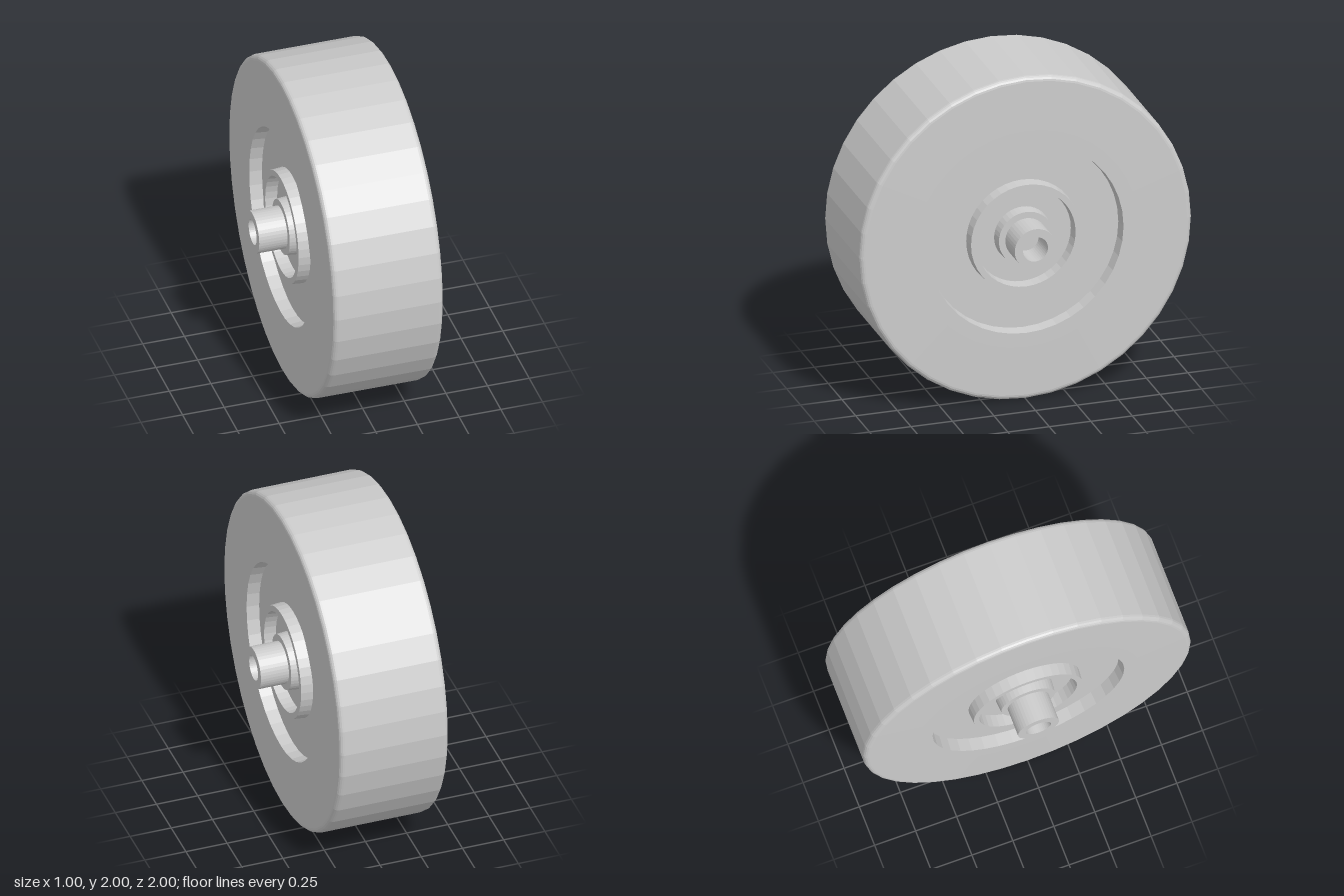
import * as THREE from 'three';

const SIDES = 40;

// Mirrors half a profile of [radius, axial distance], listed from the mid-plane
// side outwards, so both wheel faces match.
function mirrored(half) {
  const near = half.map(([r, a]) => [r, -a]).reverse();
  return [...near, ...half];
}

export function createModel() {
  const wheel = new THREE.Group();
  wheel.name = 'wheel';
  const material = new THREE.MeshStandardMaterial({ color: 0xcccccc, flatShading: true });

  function addLathe(name, profile) {
    const points = profile.map(([r, a]) => new THREE.Vector2(r, a));
    const geometry = new THREE.LatheGeometry(points, SIDES);
    geometry.rotateZ(-Math.PI / 2); // axis along x
    const mesh = new THREE.Mesh(geometry, material);
    mesh.name = name;
    mesh.position.y = 1;
    wheel.add(mesh);
  }

  // Tyre: flat tread, rounded shoulders, faintly crowned sidewall, recess wall
  const shoulder = [];
  for (let i = 0; i <= 4; i++) {
    const t = (i / 4) * Math.PI / 2;
    shoulder.push([0.97 + 0.03 * Math.cos(t), 0.3 + 0.03 * Math.sin(t)]);
  }
  addLathe('tyre', mirrored([...shoulder, [0.67, 0.334], [0.585, 0.334], [0.578, 0.26]]));

  // Hub: recessed web, raised ring, inner groove and central boss
  addLathe('hub', mirrored([
    [0.58, 0.26], [0.338, 0.26], [0.332, 0.33], [0.298, 0.33],
    [0.292, 0.26], [0.17, 0.26], [0.164, 0.33], [0.12, 0.33],
  ]));

  // Axle with a blind bore in each end
  addLathe('axle', mirrored([
    [0.125, 0.5], [0.075, 0.5], [0.075, 0.33], [0, 0.33],
  ]));

  return wheel;
}
